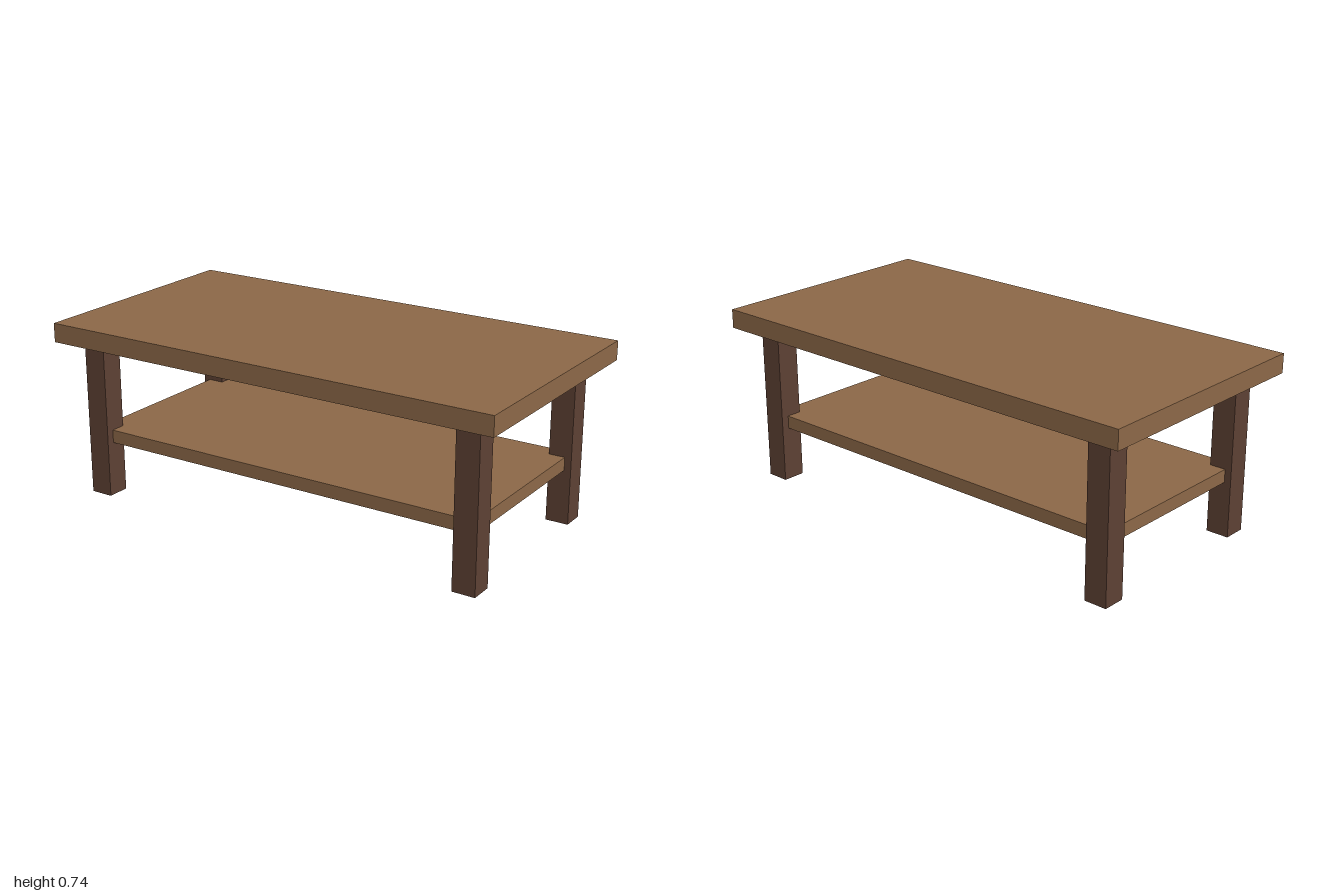
import * as THREE from 'three';

export function createModel() {
  const table = new THREE.Group();
  table.name = 'coffeeTable';

  const wood = new THREE.MeshStandardMaterial({ name: 'lightWood', color: 0x8b6747 });
  const darkWood = new THREE.MeshStandardMaterial({ name: 'darkWood', color: 0x5c4033 });

  // Box standing on y = bottom
  function addBox(name, material, [w, h, d], x, bottom, z) {
    const mesh = new THREE.Mesh(new THREE.BoxGeometry(w, h, d), material);
    mesh.name = name;
    mesh.position.set(x, bottom + h / 2, z);
    table.add(mesh);
  }

  addBox('tableTop', wood, [2, 0.08, 1.032], 0, 0.66, 0);

  // Lower shelf, its corners let into the legs
  addBox('shelf', wood, [1.762, 0.055, 0.81], 0, 0.228, 0);

  // Four square legs
  for (const [side, sx] of [['Left', 1], ['Right', -1]]) {
    for (const [end, sz] of [['front', 1], ['back', -1]]) {
      addBox(`${end}${side}Leg`, darkWood, [0.097, 0.66, 0.097], sx * 0.861, 0, sz * 0.389);
    }
  }

  return table;
}
